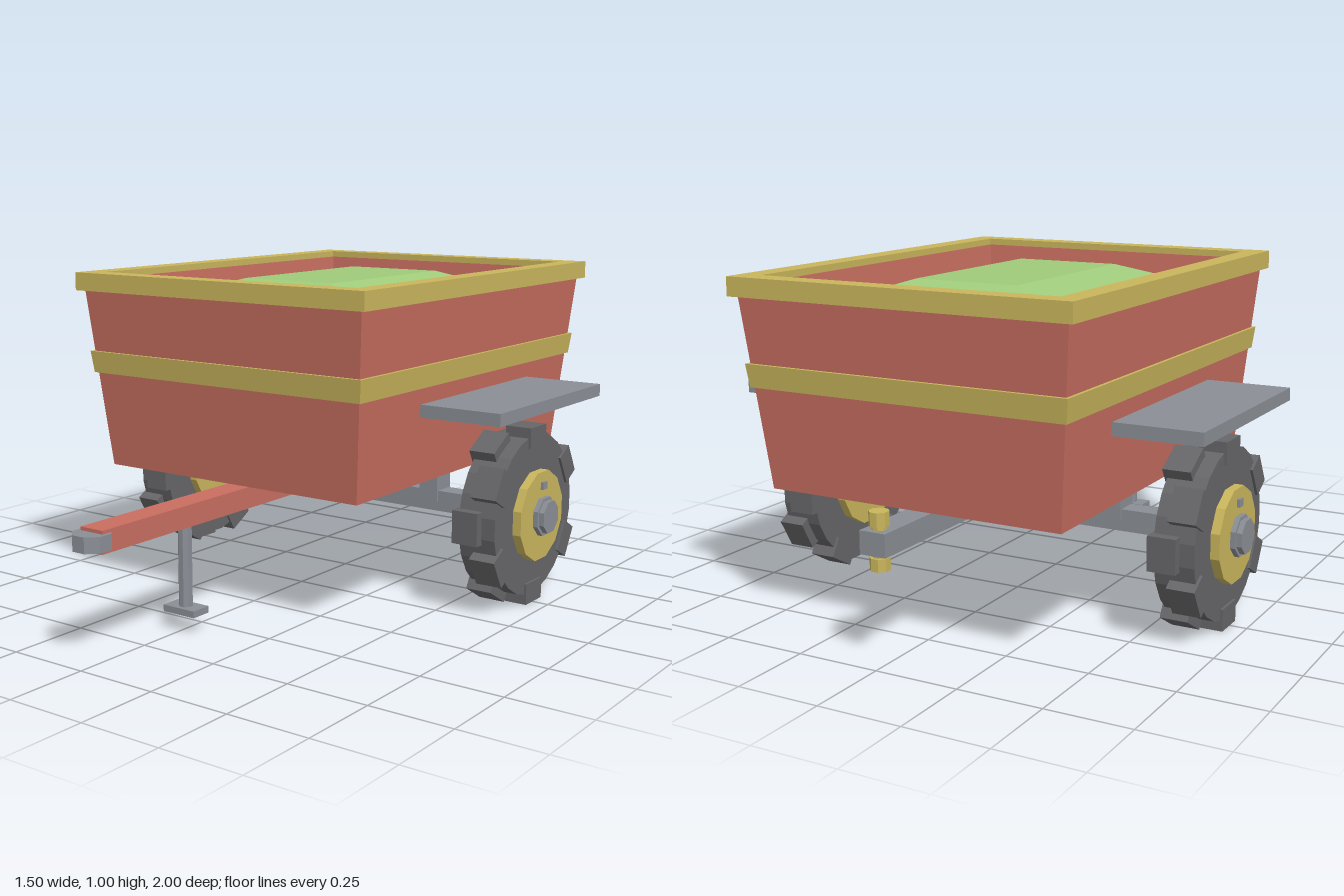
import * as THREE from 'three';

const paint = (name, color) => {
  const m = new THREE.MeshStandardMaterial({ color });
  m.name = name;
  return m;
};

// Rectangular loft: each ring is [halfWidth, y, halfDepth]; ends may be capped.
function loft(rings, capStart = false, capEnd = false) {
  const pos = [];
  const corners = ([x, y, z]) => [[-x, y, z], [x, y, z], [x, y, -z], [-x, y, -z]];
  const quad = (a, b, c, d) => pos.push(...a, ...b, ...c, ...a, ...c, ...d);
  for (let i = 0; i < rings.length - 1; i++) {
    const lo = corners(rings[i]), hi = corners(rings[i + 1]);
    for (let k = 0; k < 4; k++) {
      const n = (k + 1) % 4;
      quad(lo[k], lo[n], hi[n], hi[k]);
    }
  }
  if (capStart) quad(...corners(rings[0]).reverse());
  if (capEnd) quad(...corners(rings[rings.length - 1]));
  const g = new THREE.BufferGeometry();
  g.setAttribute('position', new THREE.Float32BufferAttribute(pos, 3));
  g.computeVertexNormals();
  return g;
}

// Box given by its extents on each axis.
function box(x0, x1, y0, y1, z0, z1) {
  return new THREE.BoxGeometry(x1 - x0, y1 - y0, z1 - z0)
    .translate((x0 + x1) / 2, (y0 + y1) / 2, (z0 + z1) / 2);
}

// Faceted upright cylinder between two heights.
function post(r, y0, y1, sides, z = 0) {
  return new THREE.CylinderGeometry(r, r, y1 - y0, sides)
    .rotateY(Math.PI / sides).translate(0, (y0 + y1) / 2, z).toNonIndexed();
}

// Faceted cylinder lying along x between two positions.
function drum(r, x0, x1, sides) {
  return new THREE.CylinderGeometry(r, r, x1 - x0, sides)
    .rotateY(Math.PI / sides).rotateZ(-Math.PI / 2)
    .translate((x0 + x1) / 2, 0, 0).toNonIndexed();
}

export function createModel() {
  const red = paint('red body paint', 0xc86e60);
  const yellow = paint('yellow trim', 0xc9b55c);
  const green = paint('green load', 0x9fcb7b);
  const grey = paint('grey metal', 0x8a8e95);
  const rubber = paint('dark rubber', 0x666669);

  const model = new THREE.Group();
  model.name = 'trailer';
  const add = (parent, name, geometry, material) => {
    if (!geometry.index) geometry.computeVertexNormals();
    const mesh = new THREE.Mesh(geometry, material);
    mesh.name = name;
    parent.add(mesh);
    return mesh;
  };

  // Tapered bin with its trim and load
  const bin = new THREE.Group();
  bin.name = 'bin';
  bin.position.z = -0.227;
  model.add(bin);
  add(bin, 'binWalls', loft([
    [0.46, 0.395, 0.6], [0.513, 0.98, 0.66], [0.461, 0.98, 0.606], [0.443, 0.78, 0.585],
  ], true), red);
  add(bin, 'topRim', loft([
    [0.464, 0.945, 0.609], [0.531, 0.945, 0.676], [0.531, 1, 0.676],
    [0.464, 1, 0.609], [0.464, 0.945, 0.609],
  ]), yellow);
  add(bin, 'middleBand', loft([
    [0.48, 0.69, 0.62], [0.495, 0.69, 0.64], [0.503, 0.757, 0.648], [0.485, 0.757, 0.63],
  ]), yellow);
  add(bin, 'load', loft([
    [0.448, 0.82, 0.59], [0.33, 0.92, 0.445], [0.165, 0.975, 0.3],
  ], false, true), green);

  // Drawbar with rounded eye and parking stand
  add(model, 'drawbar', box(-0.04, 0.04, 0.315, 0.38, 0.03, 0.945), red);
  add(model, 'drawbarEye', post(0.056, 0.325, 0.37, 8, 0.944), grey);
  add(model, 'standPost', post(0.021, 0.07, 0.32, 8, 0.57), grey);
  add(model, 'standFoot', box(-0.057, 0.057, 0.05, 0.07, 0.537, 0.603), grey);

  // Rear hitch with pin
  add(model, 'rearHitch', box(-0.04, 0.04, 0.315, 0.38, -1, -0.6), grey);
  add(model, 'pinShaft', post(0.02, 0.27, 0.43, 8, -0.967), yellow);
  add(model, 'pinHead', post(0.028, 0.39, 0.43, 8, -0.967), yellow);
  add(model, 'pinFoot', post(0.028, 0.27, 0.305, 8, -0.967), yellow);

  // Axle beam
  const axleZ = -0.256;
  add(model, 'axle', box(-0.52, 0.52, 0.245, 0.31, axleZ - 0.033, axleZ + 0.033), grey);

  for (const side of [1, -1]) {
    const label = side > 0 ? 'left' : 'right';

    // Axle bracket and flat mudguard
    add(model, label + 'Bracket', box(-0.032, 0.032, 0.275, 0.4, -0.04, 0.04), grey)
      .position.set(side * 0.339, 0, axleZ);
    add(model, label + 'Mudguard', box(-0.135, 0.135, 0.602, 0.64, -0.331, 0.331), grey)
      .position.set(side * 0.608, 0, -0.255);

    // Wheel, built facing +x and turned round for the other side
    const wheel = new THREE.Group();
    wheel.name = label + 'Wheel';
    wheel.position.set(0, 0.275, axleZ);
    if (side < 0) wheel.rotation.y = Math.PI;
    model.add(wheel);
    add(wheel, 'tyre', drum(0.25, 0.57, 0.69, 24), rubber);
    add(wheel, 'wheelDisc', drum(0.141, 0.543, 0.717, 12), yellow);
    add(wheel, 'hub', drum(0.062, 0.51, 0.732, 8), grey);
    add(wheel, 'hubCap', drum(0.052, 0.73, 0.748, 8), grey);
    add(wheel, 'valve', box(0.71, 0.726, 0.083, 0.106, -0.013, 0.013), grey);

    // Staggered tread lugs, alternating outer and inner halves
    for (let i = 0; i < 12; i++) {
      const x = i % 2 ? 0.562 : 0.614;
      add(wheel, 'treadLug', box(x, x + 0.084, 0.21, 0.275, -0.05, 0.05), rubber)
        .rotation.x = i * Math.PI / 6;
    }
  }
  return model;
}
